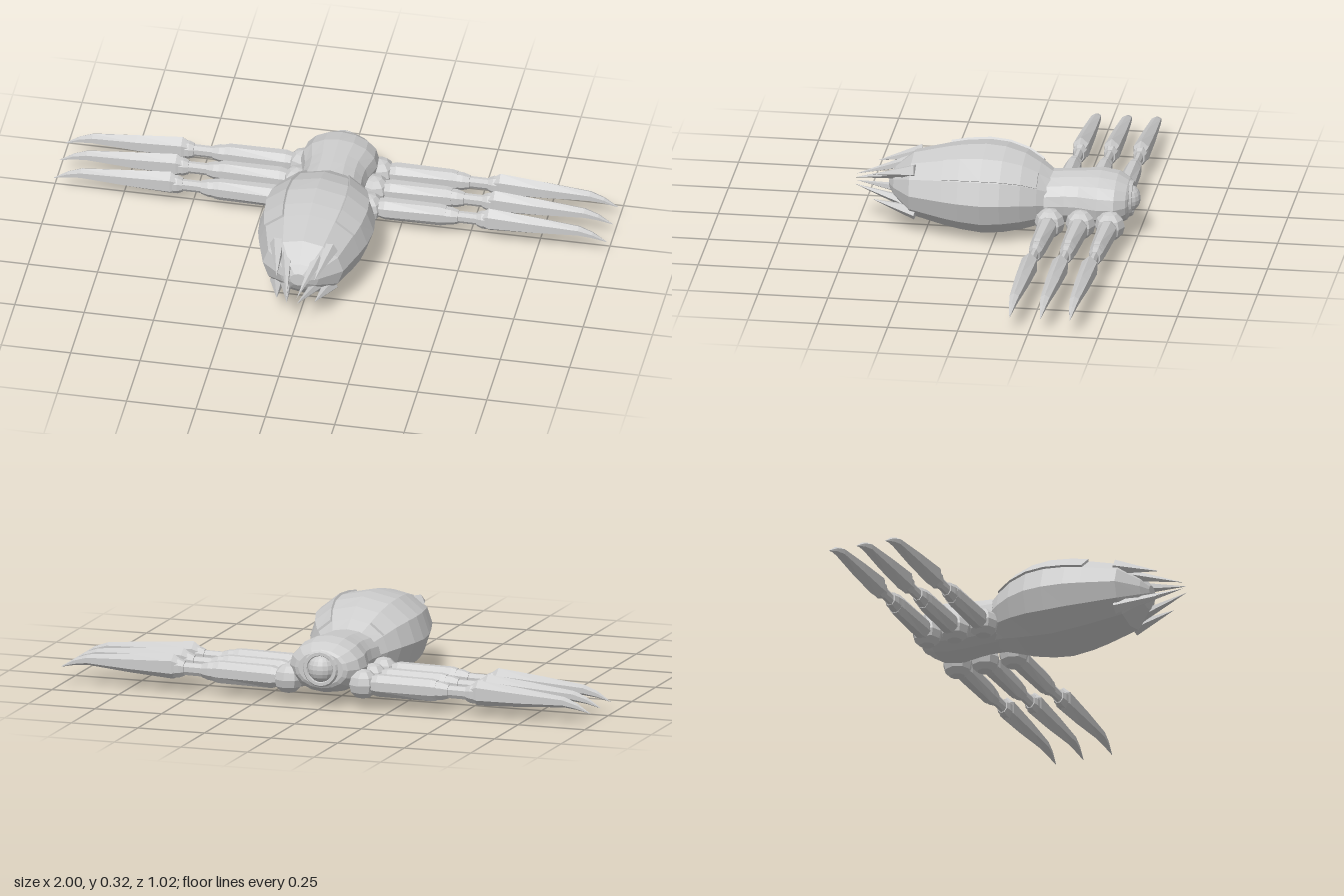
import * as THREE from 'three';

const grey = new THREE.MeshStandardMaterial({ color: 0xcccccc, flatShading: true });
const plate = new THREE.MeshStandardMaterial({ color: 0xcccccc, flatShading: true, side: THREE.DoubleSide });

function add(parent, name, geometry) {
  const mesh = new THREE.Mesh(geometry, grey);
  mesh.name = name;
  parent.add(mesh);
  return mesh;
}

// Skin over elliptical rings [z, rx, ry, cy] running towards +z, closed at both ends
function loft(rings, sides, phase = 0) {
  const pos = [], index = [];
  for (const [z, rx, ry, cy = 0] of rings) {
    for (let j = 0; j < sides; j++) {
      const a = (j + phase) / sides * Math.PI * 2;
      pos.push(rx * Math.cos(a), cy + ry * Math.sin(a), z);
    }
  }
  const last = rings.length - 1, start = rings.length * sides;
  for (const r of [rings[0], rings[last]]) pos.push(0, r[3] ?? 0, r[0]);
  for (let j = 0; j < sides; j++) {
    const k = (j + 1) % sides;
    for (let i = 0; i < last; i++) {
      const a = i * sides + j, b = i * sides + k;
      index.push(a, b, b + sides, a, b + sides, a + sides);
    }
    index.push(start, k, j, start + 1, last * sides + j, last * sides + k);
  }
  const g = new THREE.BufferGeometry();
  g.setAttribute('position', new THREE.Float32BufferAttribute(pos, 3));
  g.setIndex(index);
  g.computeVertexNormals();
  return g;
}

// Abdomen rings: z, half width, half height, centre height
const ABDOMEN = [
  [-0.2, 0.105, 0.09, 0.14], [-0.155, 0.14, 0.112, 0.15], [-0.1, 0.172, 0.137, 0.158],
  [-0.03, 0.197, 0.154, 0.162], [0.04, 0.205, 0.16, 0.162], [0.12, 0.197, 0.152, 0.163],
  [0.18, 0.182, 0.141, 0.163], [0.3, 0.145, 0.112, 0.163], [0.365, 0.07, 0.055, 0.164],
  [0.385, 0.03, 0.025, 0.165],
];

// Raised plate lying over one facet strip of the abdomen, with side walls
function panelGeometry(s) {
  const rows = ABDOMEN.slice(1, 7), pos = [], index = [];
  for (const [z, rx, ry, cy] of rows) {
    for (const [deg, lift] of [[31, -0.01], [31, 0.008], [59, 0.008], [59, -0.01]]) {
      const a = THREE.MathUtils.degToRad(deg);
      pos.push(s * (rx + lift) * Math.cos(a), cy + (ry + lift) * Math.sin(a), z);
    }
  }
  for (let i = 0; i < rows.length - 1; i++) {
    for (let j = 0; j < 3; j++) {
      const a = i * 4 + j;
      if (s > 0) index.push(a, a + 1, a + 5, a, a + 5, a + 4);
      else index.push(a, a + 5, a + 1, a, a + 4, a + 5);
    }
  }
  const e = (rows.length - 1) * 4;
  index.push(0, 2, 1, 0, 3, 2, e, e + 1, e + 2, e, e + 2, e + 3);
  const g = new THREE.BufferGeometry();
  g.setAttribute('position', new THREE.Float32BufferAttribute(pos, 3));
  g.setIndex(index);
  g.computeVertexNormals();
  return g;
}

// Pointed spike from one point to another
function spike(parent, from, to, radius) {
  const a = new THREE.Vector3(...from), b = new THREE.Vector3(...to);
  const dir = b.clone().sub(a);
  const mesh = add(parent, 'spike', new THREE.ConeGeometry(radius, dir.length(), 5));
  mesh.position.copy(a).add(b).multiplyScalar(0.5);
  mesh.quaternion.setFromUnitVectors(new THREE.Vector3(0, 1, 0), dir.normalize());
}

// One leg, built along +z from its hip
function buildLeg() {
  const leg = new THREE.Group();
  leg.name = 'leg';
  add(leg, 'hip', new THREE.SphereGeometry(0.054, 8, 6));
  add(leg, 'upperLeg', loft([
    [0.02, 0.028, 0.03], [0.06, 0.036, 0.042], [0.26, 0.029, 0.042], [0.28, 0.027, 0.038],
  ], 8, 0.5));
  add(leg, 'kneeSocket', loft([[0.275, 0.027, 0.036], [0.3, 0.026, 0.034], [0.325, 0.02, 0.026]], 8, 0.5));
  add(leg, 'kneeRod', loft([[0.31, 0.015, 0.024], [0.41, 0.015, 0.024]], 8, 0.5));
  add(leg, 'ankleSocket', loft([[0.392, 0.02, 0.027], [0.41, 0.026, 0.035], [0.445, 0.026, 0.035]], 8, 0.5));
  add(leg, 'claw', loft([
    [0.41, 0.022, 0.03, 0.003], [0.435, 0.031, 0.046, 0.005], [0.6, 0.027, 0.034, 0.002],
    [0.76, 0.019, 0.019, 0], [0.81, 0.012, 0.012, -0.012], [0.86, 0.001, 0.001, -0.034],
  ], 6, 0.5));
  return leg;
}

export function createModel() {
  const model = new THREE.Group();
  model.name = 'mechanicalSpider';

  // Body
  add(model, 'abdomen', loft(ABDOMEN, 12));
  add(model, 'thorax', loft([
    [-0.475, 0.085, 0.06, 0.145], [-0.468, 0.1, 0.07, 0.143], [-0.43, 0.132, 0.092, 0.143],
    [-0.37, 0.138, 0.102, 0.143], [-0.3, 0.118, 0.097, 0.143], [-0.25, 0.115, 0.093, 0.143],
    [-0.18, 0.122, 0.09, 0.14],
  ], 16));

  // Round eye in its rim at the thorax end
  const eye = add(model, 'eye', new THREE.SphereGeometry(0.05, 16, 10));
  eye.position.set(0, 0.145, -0.465);
  eye.scale.z = 0.9;
  const rim = add(model, 'eyeRim', new THREE.TorusGeometry(0.055, 0.011, 6, 20));
  rim.position.set(0, 0.145, -0.475);

  for (const s of [1, -1]) {
    add(model, 'abdomenPanel', panelGeometry(s)).material = plate;

    // Paired spikes in each quadrant of the abdomen tip
    for (const v of [1, -1]) {
      const y = 0.163;
      spike(model, [s * 0.062, y + v * 0.062, 0.29], [s * 0.018, y + v * 0.012, 0.51], 0.026);
      spike(model, [s * 0.095, y + v * 0.078, 0.28], [s * 0.068, y + v * 0.047, 0.44], 0.028);
    }

    // Three legs a side, with a slight sweep and tilt
    for (const z of [-0.42, -0.315, -0.205]) {
      const leg = buildLeg();
      leg.position.set(s * 0.14, 0.09, z);
      leg.rotation.order = 'YXZ';
      leg.rotation.y = s > 0 ? Math.PI / 2 - 0.022 : -Math.PI / 2 - 0.02;
      leg.rotation.x = -s * 0.011;
      model.add(leg);
    }
  }
  return model;
}
